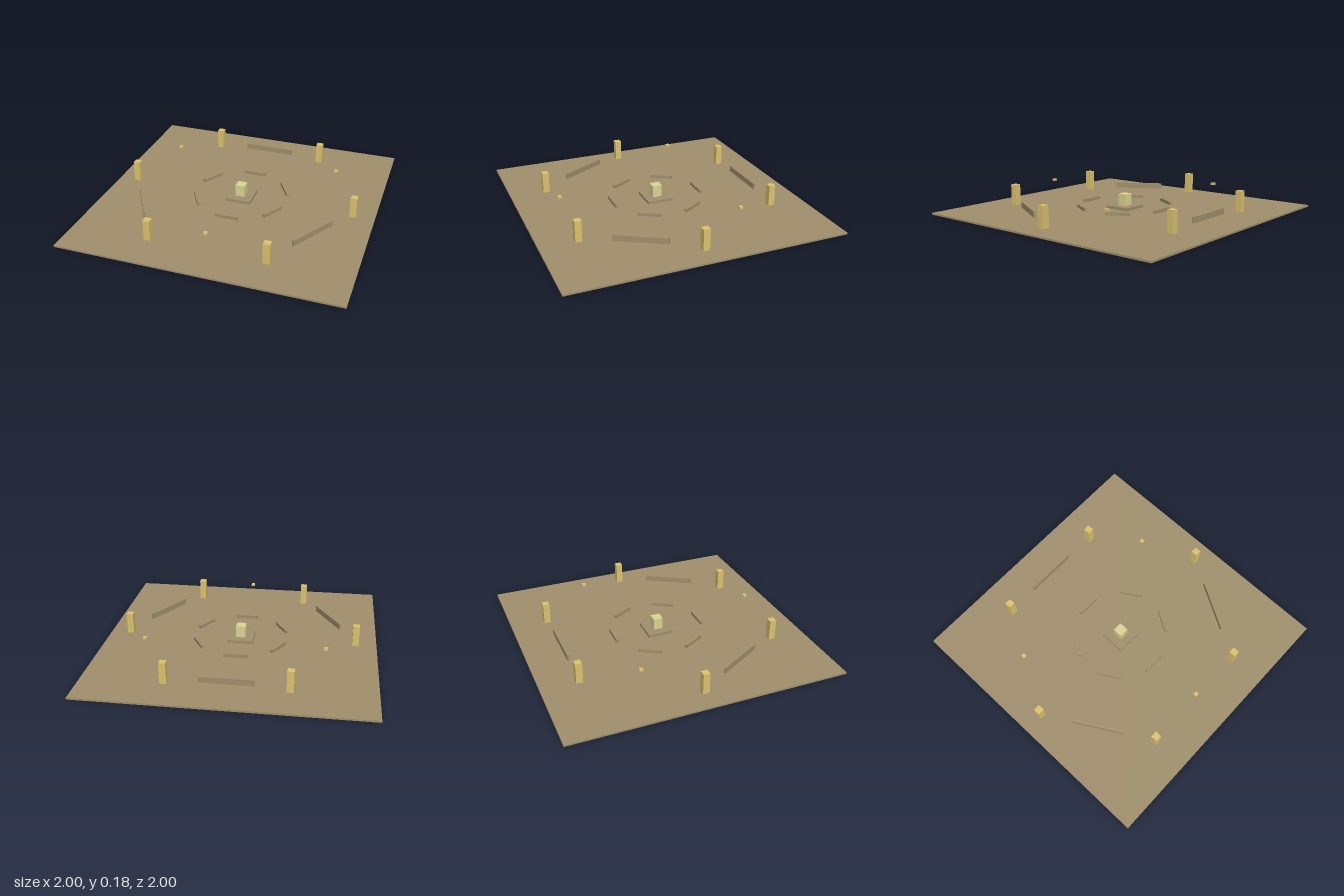
import * as THREE from 'three';

const stone = new THREE.MeshStandardMaterial({ color: 0xa08f6c });
const gold = new THREE.MeshStandardMaterial({ color: 0xdcc36f });
const pale = new THREE.MeshStandardMaterial({ color: 0xddd594 });

export function createModel() {
  const model = new THREE.Group();

  // Box given by its plan size and its bottom and top heights
  function box(name, material, w, d, y0, y1, x = 0, z = 0, turn = 0) {
    const mesh = new THREE.Mesh(new THREE.BoxGeometry(w, y1 - y0, d), material);
    mesh.name = name;
    mesh.position.set(x, (y0 + y1) / 2, z);
    mesh.rotation.y = turn;
    model.add(mesh);
  }

  // Evenly spaced boxes on a circle; angles run from +z towards +x
  function ring(name, material, count, radius, start, tangent, w, d, y0, y1) {
    for (let i = 0; i < count; i++) {
      const a = start + (i * 2 * Math.PI) / count;
      box(name + (i + 1), material, w, d, y0, y1,
        radius * Math.sin(a), radius * Math.cos(a), tangent ? a : 0);
    }
  }

  // Ground slab and central altar
  box('floor', stone, 2, 2, 0, 0.013);
  box('altarBase', stone, 0.19, 0.19, 0.022, 0.043);
  box('altarBlock', pale, 0.07, 0.07, 0.043, 0.13);

  // Low inner walls, then long outer walls
  ring('innerWall', stone, 6, 0.335, 0, true, 0.17, 0.022, 0.035, 0.059);
  ring('outerWall', stone, 3, 0.734, Math.PI / 3, true, 0.38, 0.017, 0.043, 0.086);

  // Pillars and small floating markers, all square to the floor
  ring('pillar', gold, 6, 0.845, Math.PI / 6, false, 0.048, 0.048, 0.022, 0.176);
  ring('marker', gold, 3, 0.734, 0, false, 0.027, 0.027, 0.15, 0.166);

  return model;
}
